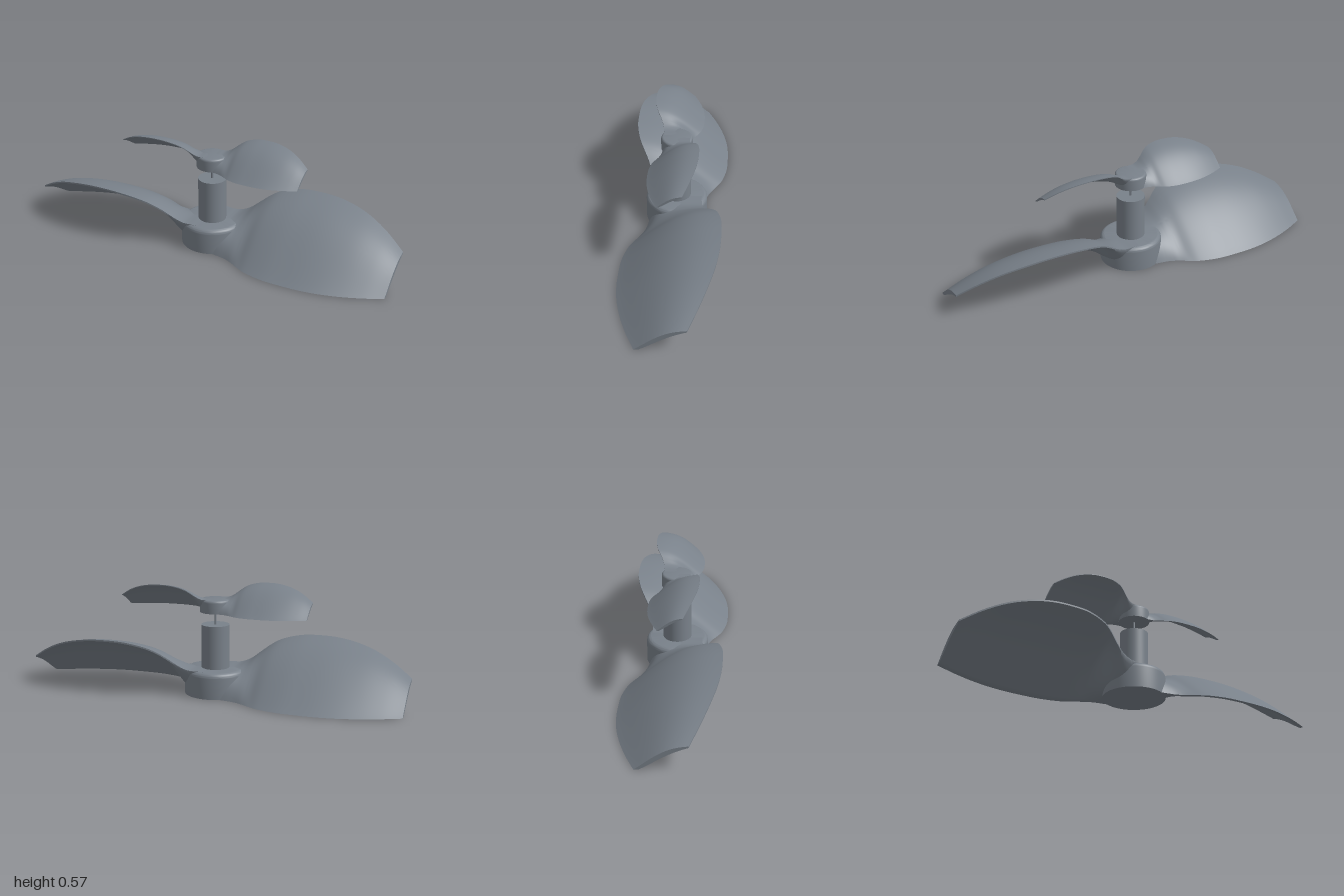
import * as THREE from 'three';
import { toCreasedNormals } from 'three/addons/utils/BufferGeometryUtils.js';

const material = new THREE.MeshStandardMaterial({ color: 0x79818a });

function part(name, geometry) {
  const mesh = new THREE.Mesh(geometry, material);
  mesh.name = name;
  return mesh;
}

// Stations along the blade: distance from axis, trailing edge height, half width
const stations = new THREE.CatmullRomCurve3([
  [0, 0.1345, 0.135], [0.05, 0.136, 0.136], [0.1, 0.139, 0.142], [0.15, 0.16, 0.151],
  [0.2, 0.198, 0.172], [0.25, 0.235, 0.201], [0.3, 0.26, 0.225], [0.4, 0.283, 0.248],
  [0.5, 0.288, 0.252], [0.6, 0.284, 0.249], [0.7, 0.268, 0.235], [0.8, 0.24, 0.208],
  [0.9, 0.195, 0.17], [1, 0.135, 0.122],
].map((p) => new THREE.Vector3(...p)));

// Closed section: cambered upper skin from leading to trailing edge, lower skin back.
// Near the root both skins swell into a full drum section, which forms the fillet.
function section({ x, y: top, z: half }, n) {
  const upperFill = 1 - THREE.MathUtils.smoothstep(x, 0.06, 0.25);
  const lowerFill = 1 - THREE.MathUtils.smoothstep(x, 0.1, 0.24);
  const lead = half + 0.003, trail = -half + 0.003;
  const camber = (t) => 0.2 * top * Math.sin(Math.PI * t ** 1.15);
  const ring = [];
  for (let i = 0; i <= n; i++) {
    const t = i / n;
    const drum = top * (1 - (1 - t) ** 6);
    ring.push([x, THREE.MathUtils.lerp(t * top + camber(t), drum, upperFill), lead + (trail - lead) * t]);
  }
  for (let i = n; i >= 0; i--) {
    const t = i / n;
    const skin = t * (top - 0.008) + camber(t) - 0.018 * Math.sin(Math.PI * t);
    const y = Math.max(0, skin) * (1 - lowerFill * (1 - t ** 4));
    ring.push([x, y, lead - 0.02 + (trail - lead + 0.02) * t]);
  }
  return ring;
}

function bladeGeometry(rows = 80, n = 32) {
  const positions = [], index = [];
  const size = 2 * (n + 1);
  for (let r = 0; r <= rows; r++) {
    positions.push(...section(stations.getPoint(r / rows), n).flat());
  }
  for (let r = 0; r < rows; r++) {
    for (let i = 0; i < size; i++) {
      const j = (i + 1) % size;
      const a = r * size + i, b = r * size + j, c = a + size, d = b + size;
      index.push(a, c, b, b, c, d);
    }
  }
  // Tip cap joins the upper and lower skins
  const tip = rows * size;
  for (let i = 0; i < n; i++) {
    const a = tip + i, b = a + 1, c = tip + size - 1 - i, d = c - 1;
    index.push(a, c, b, b, c, d);
  }
  const geometry = new THREE.BufferGeometry();
  geometry.setAttribute('position', new THREE.Float32BufferAttribute(positions, 3));
  geometry.setIndex(index);
  return toCreasedNormals(geometry, 0.8);
}

// Hub: drum with a rounded upper rim
function hubGeometry() {
  const profile = [new THREE.Vector2(0, 0), new THREE.Vector2(0.16, 0)];
  for (let i = 0; i <= 8; i++) {
    const a = (i / 8) * Math.PI / 2;
    profile.push(new THREE.Vector2(0.135 + 0.025 * Math.cos(a), 0.11 + 0.025 * Math.sin(a)));
  }
  profile.push(new THREE.Vector2(0, 0.135));
  return toCreasedNormals(new THREE.LatheGeometry(profile, 64), 0.7);
}

function propeller(name, scale, y) {
  const group = new THREE.Group();
  group.name = name;
  group.add(part('hub', hubGeometry()));
  const blade = bladeGeometry();
  ['leftBlade', 'rightBlade'].forEach((side, i) => {
    const mesh = part(side, blade);
    mesh.rotation.y = i * Math.PI;
    group.add(mesh);
  });
  group.scale.setScalar(scale);
  group.position.y = y;
  return group;
}

function rod(name, radius, bottom, top) {
  const mesh = part(name, new THREE.CylinderGeometry(radius, radius, top - bottom, 48));
  mesh.position.y = (bottom + top) / 2;
  return mesh;
}

export function createModel() {
  const model = new THREE.Group();
  model.name = 'twinPropeller';
  model.add(
    propeller('lowerPropeller', 1, 0),
    rod('shaft', 0.073, 0.1, 0.361),
    rod('upperPin', 0.006, 0.35, 0.44),
    propeller('upperPropeller', 0.5, 0.428),
  );
  return model;
}
